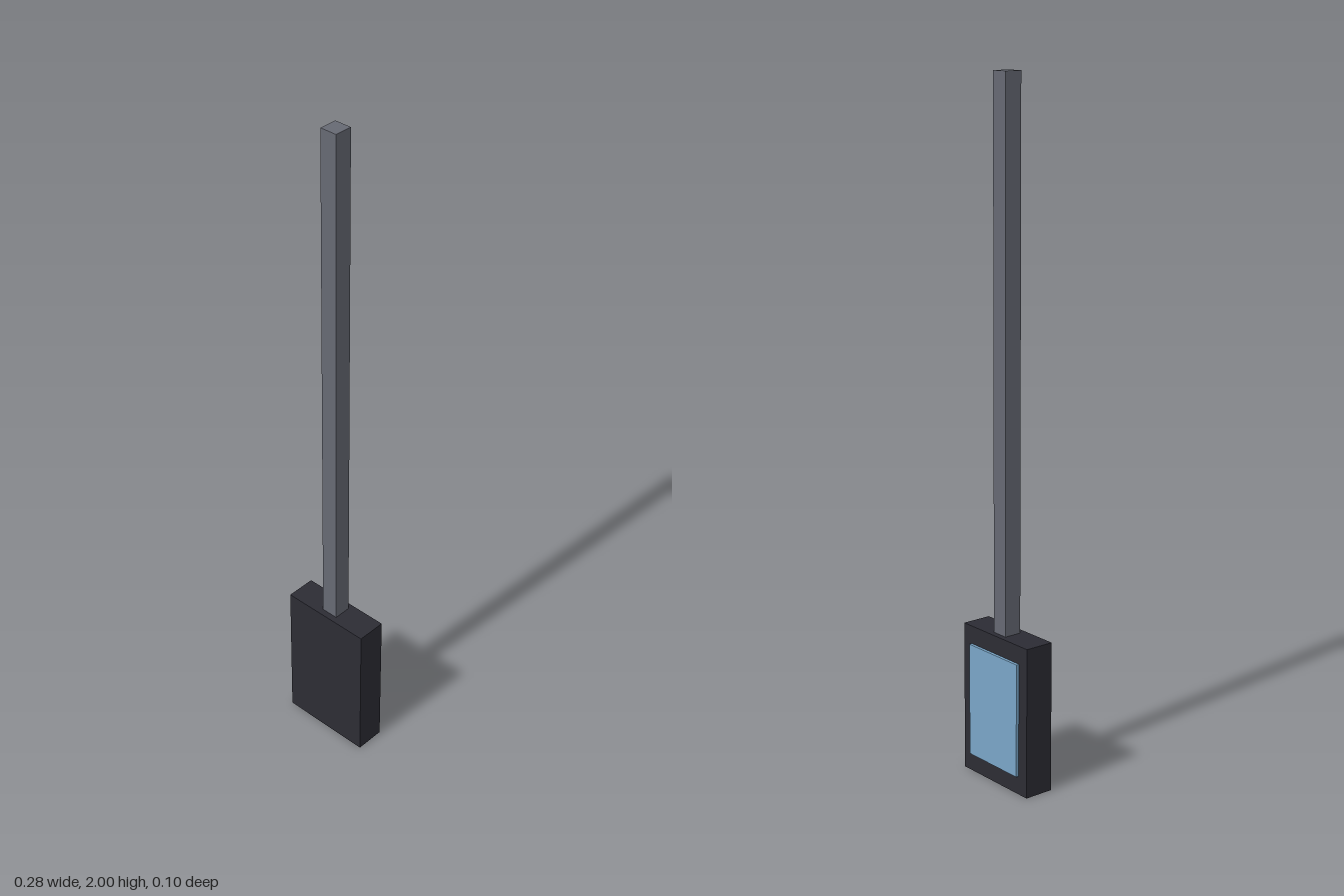
import * as THREE from 'three';

function material(name, color) {
  const m = new THREE.MeshStandardMaterial({ color });
  m.name = name;
  return m;
}

// Box given by its lower and upper corners
function box(name, mat, [x0, y0, z0], [x1, y1, z1]) {
  const mesh = new THREE.Mesh(new THREE.BoxGeometry(x1 - x0, y1 - y0, z1 - z0), mat);
  mesh.position.set((x0 + x1) / 2, (y0 + y1) / 2, (z0 + z1) / 2);
  mesh.name = name;
  return mesh;
}

export function createModel() {
  const group = new THREE.Group();
  group.name = 'hangingDisplay';

  const casing = material('dark casing', 0x2c2c34);
  const metal = material('grey metal', 0x666973);
  const glass = material('blue screen', 0x7aa6c8);

  // Display casing at the bottom of the pole
  group.add(box('casing', casing, [-0.141, 0, -0.04], [0.141, 0.443, 0.049]));
  // Screen panel standing slightly proud of the back face
  group.add(box('screen', glass, [-0.106, 0.055, -0.049], [0.106, 0.39, -0.04]));
  // Square support pole
  group.add(box('pole', metal, [-0.026, 0.443, -0.023], [0.026, 2, 0.03]));

  return group;
}
